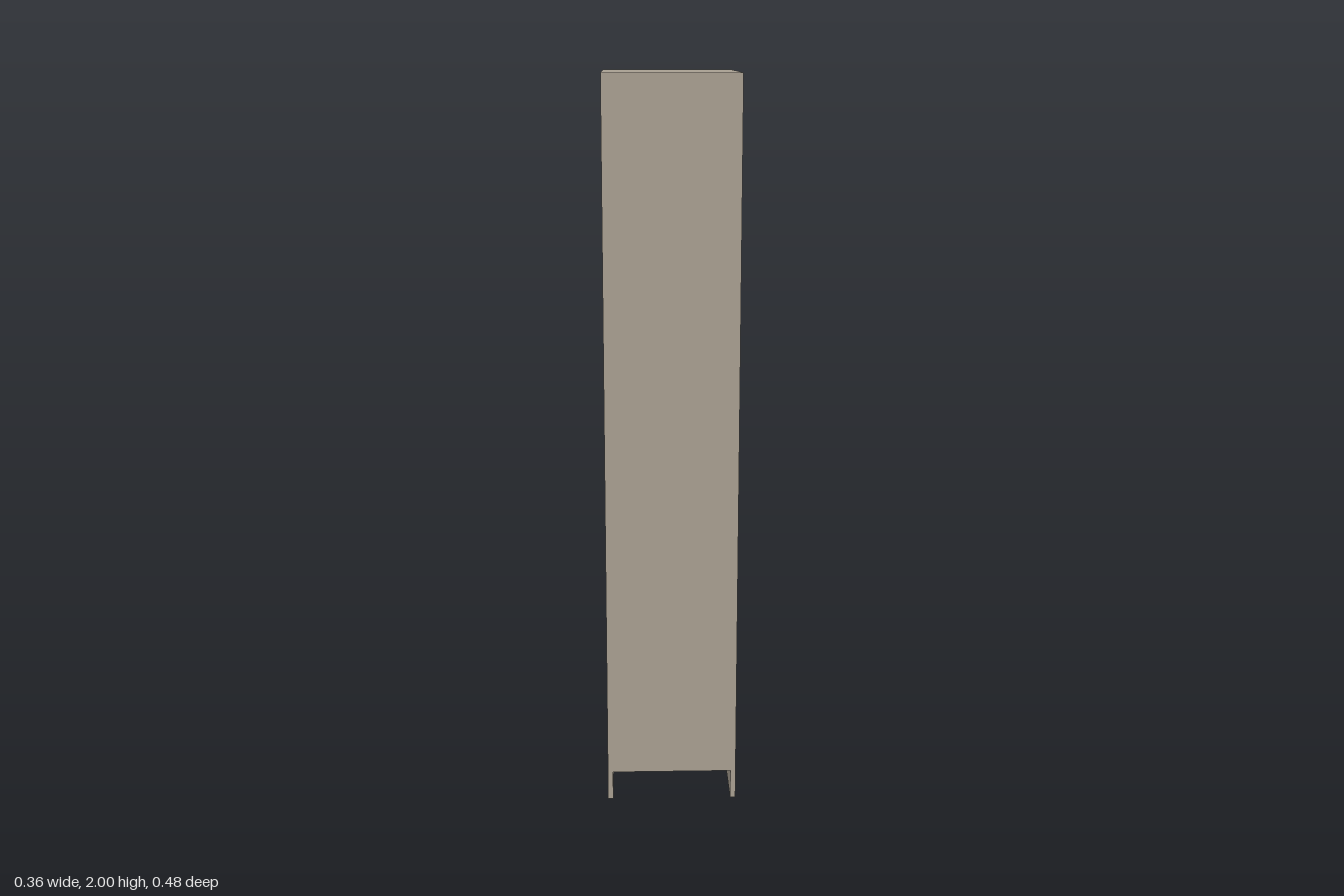
import * as THREE from 'three';

export function createModel() {
  const group = new THREE.Group();
  group.name = 'wardrobe';
  const taupe = new THREE.MeshStandardMaterial({ color: 0xa89f91 });
  taupe.name = 'taupe board';

  const W = 0.36, H = 2, D = 0.48; // outer size
  const T = 0.0145;                // board thickness
  const KICK = 0.082;              // plinth height
  const inner = W - 2 * T;

  const add = (name, geometry, x, y, z) => {
    const mesh = new THREE.Mesh(geometry, taupe);
    mesh.name = name;
    mesh.position.set(x, y, z);
    group.add(mesh);
    return mesh;
  };
  const board = (name, w, h, d, x, y, z) => add(name, new THREE.BoxGeometry(w, h, d), x, y, z);

  // Full-height sides
  for (const [name, s] of [['leftSide', 1], ['rightSide', -1]]) {
    board(name, T, H, D, s * (W - T) / 2, H / 2, 0);
  }

  // Closing panel on +z, raised above the plinth gap
  board('closingPanel', inner, H - KICK, T, 0, (H + KICK) / 2, (D - T) / 2);

  // Top, bottom and shelves fill the carcass up to the open -z side
  const levels = {
    bottomBoard: KICK + T / 2,
    lowerShelf: 0.217,
    middleShelf: 0.447,
    upperShelf: 0.732,
    hatShelf: 1.708,
    topBoard: H - T / 2,
  };
  for (const [name, y] of Object.entries(levels)) {
    board(name, inner, T, D - T, 0, y, -T / 2);
  }

  // Plinth under the open side
  board('kickBoard', inner, KICK, T, 0, KICK / 2, -(D - T) / 2);

  // Hanging rail
  const rail = add('hangingRail', new THREE.CylinderGeometry(0.009, 0.009, inner, 24), 0, 1.535, -0.01);
  rail.rotation.z = Math.PI / 2;

  return group;
}
